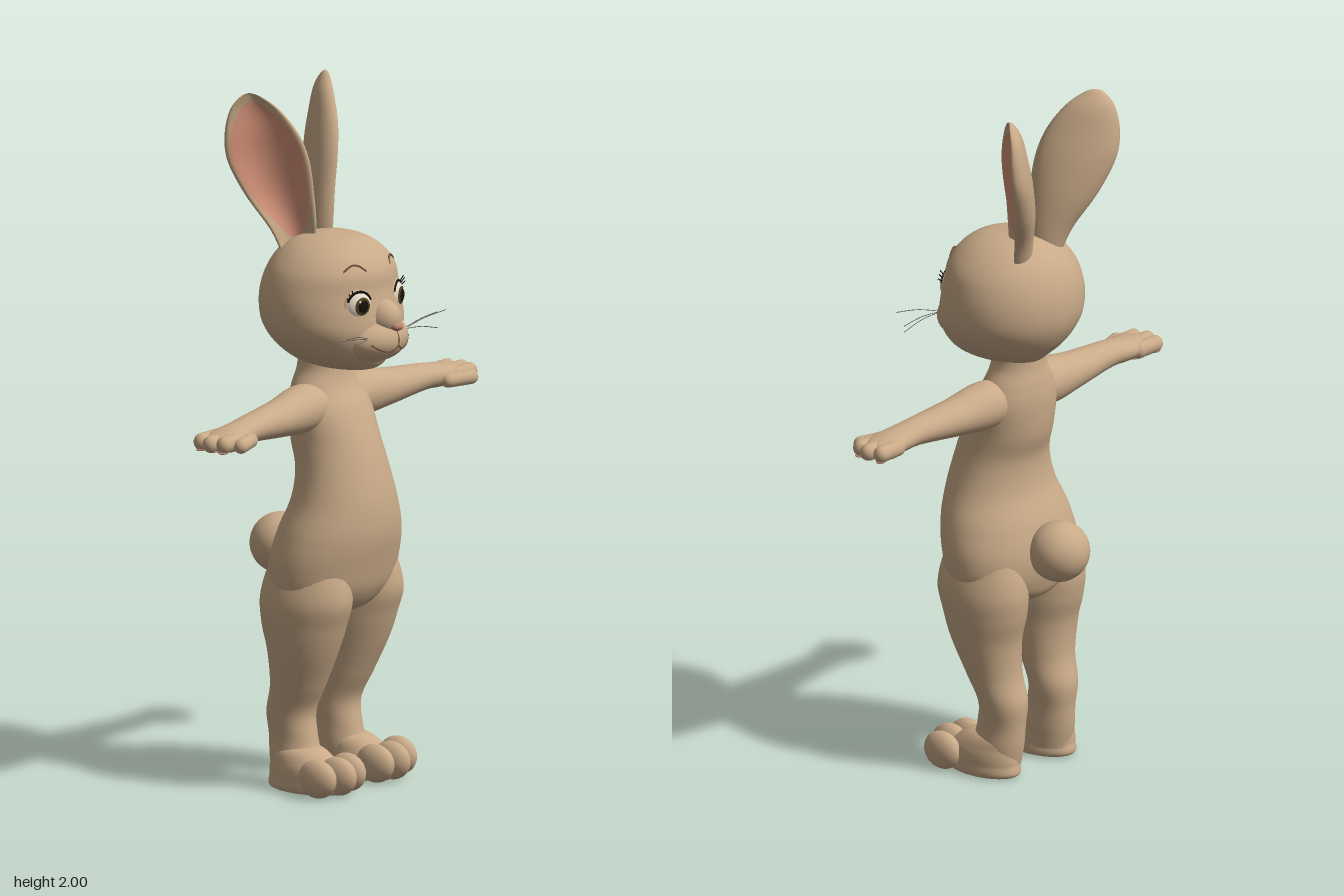
import * as THREE from 'three';
import { ParametricGeometry } from 'three/addons/geometries/ParametricGeometry.js';

const mat = (name, color) => {
  const m = new THREE.MeshStandardMaterial({ color });
  m.name = name;
  return m;
};

// Smooth skin through elliptical rings [x, y, z, radiusX, radiusZ].
// turn rotates every ring about y; dent hollows the local +z side.
function skin(rings, turn = 0, dent = 0) {
  const centre = new THREE.CatmullRomCurve3(
    rings.map(r => new THREE.Vector3(r[0], r[1], r[2])), false, 'catmullrom');
  const radius = new THREE.CatmullRomCurve3(
    rings.map(r => new THREE.Vector3(r[3], r[4], 0)), false, 'catmullrom');
  const up = new THREE.Vector3(0, 1, 0), c = new THREE.Vector3(), r = new THREE.Vector3();
  return (a, v, p, lift = 0) => {
    centre.getPoint(v, c);
    radius.getPoint(v, r);
    const k = Math.cos(a);
    const depth = k > 0 ? k * (1 - dent * k) : k;
    p.set(Math.max(r.x, 0.001) * Math.sin(a), 0, Math.max(r.y, 0.001) * depth + lift);
    p.applyAxisAngle(up, turn).add(c);
    p.y = Math.max(p.y, 0);
  };
}

const loft = (f, around = 40, along = 56) =>
  new ParametricGeometry((u, v, p) => f(u * Math.PI * 2, v, p), around, along);

export function createModel() {
  const fur = mat('tan fur', 0xc9aa88);
  const pink = mat('ear pink', 0xd9967c);
  const padPink = mat('pad and nose pink', 0xb98570);
  const white = mat('eye white', 0xe4d8c8);
  const iris = mat('iris brown', 0x4b3f1c);
  const black = mat('pupil and lash black', 0x14100c);
  const brown = mat('brow and mouth brown', 0x7a5440);
  const grey = mat('whisker grey', 0x6a625a);

  const add = (parent, name, geo, material, pos = [0, 0, 0], scale = [1, 1, 1]) => {
    const m = new THREE.Mesh(geo, material);
    m.name = name;
    m.position.set(...pos);
    m.scale.set(...scale);
    parent.add(m);
    return m;
  };
  const ball = (parent, name, material, pos, radii) =>
    add(parent, name, new THREE.SphereGeometry(1, 36, 24), material, pos, radii);
  const line = (parent, name, material, pts, r) => add(parent, name,
    new THREE.TubeGeometry(new THREE.CatmullRomCurve3(pts.map(p => new THREE.Vector3(...p))), 20, r, 6), material);

  // Built facing local +z, then turned to face +x
  const rabbit = new THREE.Group();
  rabbit.name = 'rabbit';
  rabbit.rotation.y = Math.PI / 2;

  add(rabbit, 'torso', loft(skin([
    [0, 0.49, 0, 0.002, 0.002], [0, 0.515, 0, 0.11, 0.1], [0, 0.57, 0.008, 0.208, 0.14],
    [0, 0.65, 0.016, 0.226, 0.156], [0, 0.74, 0.035, 0.208, 0.155], [0, 0.83, 0.051, 0.172, 0.136],
    [0, 0.92, 0.045, 0.148, 0.122], [0, 1.0, 0.022, 0.138, 0.12], [0, 1.09, 0, 0.138, 0.105],
    [0, 1.15, -0.015, 0.112, 0.085], [0, 1.2, -0.017, 0.085, 0.073], [0, 1.26, -0.015, 0.08, 0.07],
  ])), fur);
  ball(rabbit, 'tail', fur, [0, 0.667, -0.17], [0.088, 0.087, 0.087]);

  // Head, muzzle and nose
  add(rabbit, 'head', loft(skin([
    [0, 1.198, 0.04, 0.002, 0.002], [0, 1.212, 0.04, 0.065, 0.11], [0, 1.24, 0.035, 0.125, 0.148],
    [0, 1.28, 0.024, 0.173, 0.176], [0, 1.33, 0.014, 0.206, 0.194], [0, 1.38, 0.006, 0.215, 0.196],
    [0, 1.44, 0.002, 0.208, 0.188], [0, 1.5, 0.008, 0.185, 0.174], [0, 1.55, 0.008, 0.138, 0.137],
    [0, 1.58, 0.004, 0.08, 0.085], [0, 1.592, 0, 0.002, 0.002],
  ])), fur);
  ball(rabbit, 'muzzle', fur, [0, 1.305, 0.15], [0.115, 0.07, 0.095]);
  ball(rabbit, 'noseBridge', fur, [0, 1.365, 0.178], [0.05, 0.055, 0.066]);
  ball(rabbit, 'nose', padPink, [0, 1.346, 0.237], [0.021, 0.013, 0.018]);

  // Mouth follows the muzzle surface
  const onMuzzle = (x, y) => [x, y,
    0.15 + 0.095 * Math.sqrt(Math.max(0, 1 - (x / 0.115) ** 2 - ((y - 1.305) / 0.07) ** 2))];
  line(rabbit, 'lipCleft', brown, [[0, 1.335], [0, 1.31], [0, 1.29]].map(p => onMuzzle(...p)), 0.002);

  const makeSide = (name, sign) => {
    const side = new THREE.Group();
    side.name = name;
    side.scale.x = sign;
    rabbit.add(side);

    line(side, 'mouth', brown,
      [[0, 1.29], [0.025, 1.278], [0.055, 1.283], [0.088, 1.303]].map(p => onMuzzle(...p)), 0.0028);

    // Ear with a hollow front and a pink lining
    const earSkin = skin([
      [0.062, 1.52, -0.06, 0.045, 0.045], [0.075, 1.6, -0.07, 0.066, 0.052],
      [0.105, 1.7, -0.095, 0.097, 0.058], [0.135, 1.8, -0.112, 0.115, 0.058],
      [0.155, 1.88, -0.122, 0.104, 0.05], [0.17, 1.95, -0.135, 0.07, 0.035],
      [0.18, 1.99, -0.142, 0.028, 0.016], [0.182, 2.0, -0.145, 0.002, 0.002],
    ], 0.857, 1.3);
    add(side, 'ear', loft(earSkin, 56, 56), fur);
    add(side, 'earLining', new ParametricGeometry((u, v, p) => {
      const spread = 1.1 * Math.pow(Math.sin(Math.PI * (0.01 + 0.98 * v)), 0.5);
      earSkin((u - 0.5) * 2 * spread, 0.1 + 0.68 * v, p, 0.003);
    }, 24, 40), pink);

    // Eye: white, iris, pupil, lids and lashes
    const eye = new THREE.Group();
    eye.name = 'eye';
    eye.position.set(0.086, 1.412, 0.161);
    eye.rotation.y = 0.38;
    side.add(eye);
    const shape = [0.042, 0.042, 0.029];
    ball(eye, 'eyeWhite', white, [0, 0, 0], shape);
    const cap = (label, material, angle, grow) => {
      const g = new THREE.SphereGeometry(grow, 28, 8, 0, Math.PI * 2, 0, angle).rotateX(Math.PI / 2).rotateY(-0.12);
      add(eye, label, g, material, [0, 0, 0], shape);
    };
    cap('iris', iris, 0.64, 1.02);
    cap('pupil', black, 0.42, 1.04);
    ball(eye, 'eyeGlint', white, [0.006, 0.014, 0.0275], [0.004, 0.004, 0.002]);
    add(eye, 'eyelid', new THREE.TorusGeometry(0.042, 0.006, 10, 36), fur, [0, 0, 0.006]);
    add(eye, 'lashLine', new THREE.TorusGeometry(0.04, 0.004, 8, 28, 2.4), black, [0, 0, 0.012]).rotation.z = 0.35;
    for (const a of [0.5, 0.75, 1.0]) {
      line(eye, 'lash', black, [0.04, 0.048, 0.054].map((r, i) =>
        [r * Math.cos(a), r * Math.sin(a) + i * 0.002, 0.014 + i * 0.004]), 0.0016);
    }

    const brow = [[0.055, 1.505], [0.07, 1.52], [0.09, 1.525], [0.118, 1.508]];
    line(side, 'brow', brown, brow.map(([x, y]) =>
      [x, y, 0.008 + (y > 1.515 ? 0.162 : 0.171) * Math.sqrt(1 - (x / 0.178) ** 2)]), 0.003);

    for (const [y, x, z] of [[1.35, 0.235, 0.235], [1.33, 0.265, 0.18], [1.295, 0.23, 0.21]]) {
      line(side, 'whisker', grey,
        [[0.08, 1.318, 0.2], [(0.08 + x) / 2, (1.33 + y) / 2, (0.205 + z) / 2], [x, y, z]], 0.0011);
    }

    // Arm runs outward: local y is reach, local x points down
    add(side, 'arm', loft(skin([
      [0, 0.04, 0, 0.05, 0.06], [0, 0.13, 0, 0.068, 0.068], [0.005, 0.25, 0.008, 0.054, 0.058],
      [0.005, 0.4, 0.018, 0.039, 0.047], [0.01, 0.47, 0.022, 0.035, 0.05], [0.013, 0.53, 0.024, 0.03, 0.058],
      [0.014, 0.57, 0.024, 0.02, 0.045], [0.014, 0.58, 0.024, 0.002, 0.002],
    ])), fur, [0, 1.1, 0]).rotation.z = -Math.PI / 2;
    for (const [z, tip] of [[-0.016, 0.604], [0.024, 0.616], [0.062, 0.602]]) {
      add(side, 'finger', new THREE.CapsuleGeometry(0.022, 0.07, 8, 18).rotateZ(Math.PI / 2), fur,
        [tip - 0.057, 1.086, z], [1, 1.1, 1]);
    }
    add(side, 'thumb', new THREE.CapsuleGeometry(0.021, 0.08, 8, 18).rotateZ(Math.PI / 2), fur,
      [0.505, 1.08, 0.082]).rotation.y = -0.3;
    ball(side, 'palmPad', padPink, [0.525, 1.06, 0.024], [0.042, 0.006, 0.042]);
    for (const z of [-0.016, 0.024, 0.062]) {
      ball(side, 'fingerPad', padPink, [0.583, 1.064, z], [0.016, 0.004, 0.013]);
    }

    add(side, 'leg', loft(skin([
      [0.108, 0.03, -0.035, 0.06, 0.07], [0.107, 0.09, -0.038, 0.064, 0.078], [0.105, 0.15, -0.047, 0.062, 0.073],
      [0.106, 0.22, -0.053, 0.07, 0.071], [0.112, 0.3, -0.025, 0.079, 0.08], [0.119, 0.4, -0.003, 0.096, 0.104],
      [0.12, 0.48, 0.002, 0.107, 0.128], [0.12, 0.56, 0.01, 0.108, 0.141], [0.11, 0.66, 0.012, 0.085, 0.115],
      [0.1, 0.72, 0.012, 0.04, 0.06],
    ])), fur);

    // Foot and three toes
    add(side, 'foot', loft(skin([
      [0.115, 0, 0.015, 0.002, 0.002], [0.117, 0.002, 0.012, 0.068, 0.115], [0.118, 0.04, 0.012, 0.074, 0.122],
      [0.117, 0.08, 0.002, 0.07, 0.108], [0.112, 0.12, -0.025, 0.052, 0.075], [0.11, 0.13, -0.03, 0.002, 0.002],
    ])), fur);
    for (const [x, z] of [[0.067, 0.112], [0.127, 0.124], [0.19, 0.1]]) {
      ball(side, 'toe', fur, [x, 0.055, z], [0.035, 0.055, 0.062]);
    }
  };
  makeSide('leftSide', 1);
  makeSide('rightSide', -1);

  const model = new THREE.Group();
  model.name = 'standingRabbit';
  model.add(rabbit);
  return model;
}
